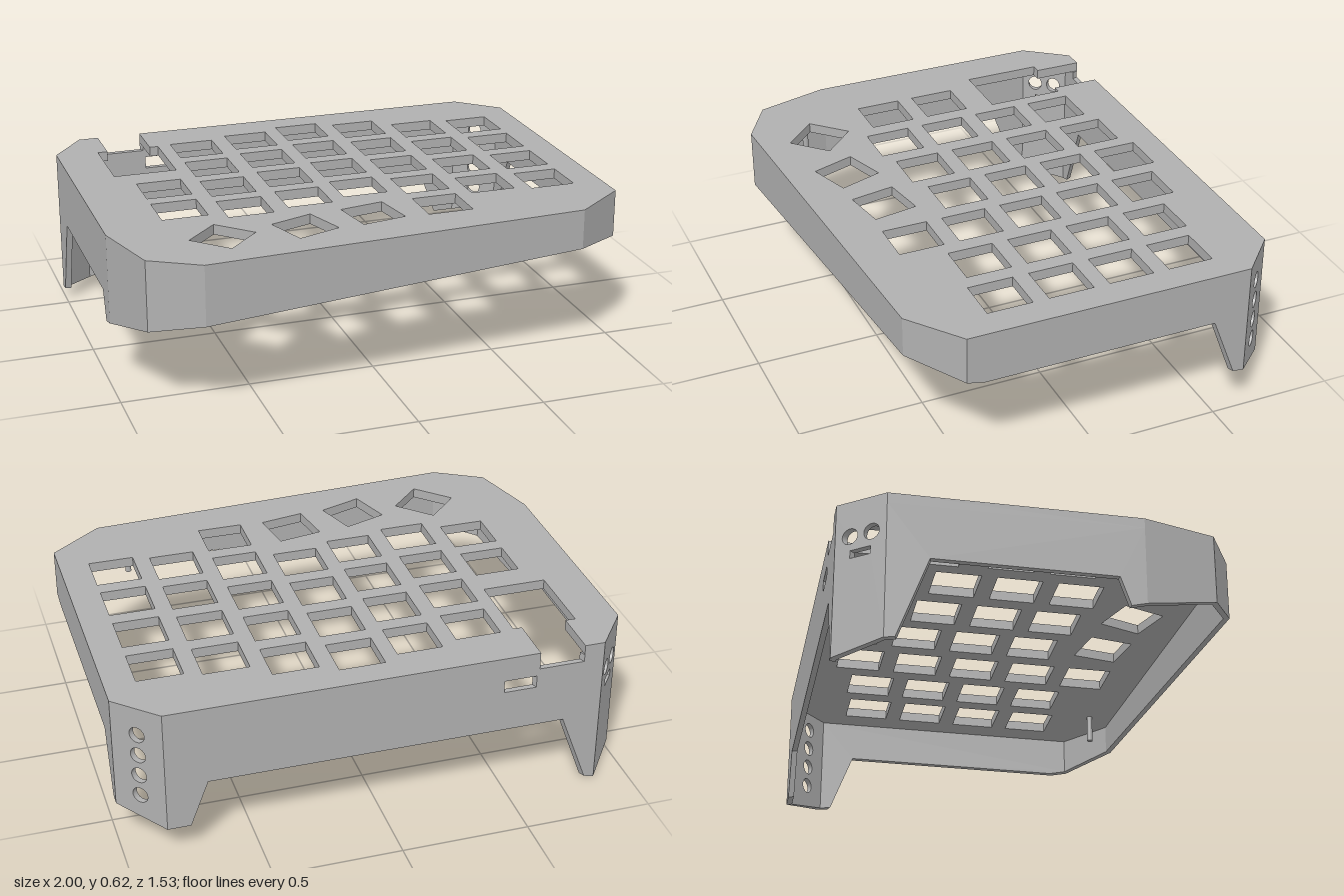
import * as THREE from 'three';

const TOP = 0.62, PLATE = 0.04, WALL = 0.023, KEY = 0.18;
const V = (x, y) => new THREE.Vector2(x, y);

// Corners of the case as [x, z, height of the lower edge], anticlockwise from above
const corners = [
  [-1, -0.6, 0.035], [-1, 0.36, 0.265], [-0.92, 0.65, 0.34], [-0.73, 0.76, 0.38], [0.79, 0.68, 0.46],
  [1, 0.52, 0.43], [1, -0.62, 0.165], [0.84, -0.77, 0.115], [-0.87, -0.77, 0],
];
const names = ['rightWall', 'rightFrontBevel', 'frontRightBevel', 'frontWall', 'frontLeftBevel',
  'leftWall', 'backLeftLeg', 'backWall', 'backRightLeg'];

// Lower edge between the corners, as [x or z, y]: this shapes the legs
const lowerEdges = {
  rightWall: [[-0.56, 0.04], [-0.44, 0.365], [0.26, 0.365], [0.3, 0.25]],
  leftWall: [[0.45, 0.415], [-0.48, 0.415], [-0.575, 0.17]],
  backWall: [[0.75, 0.115], [0.68, 0.3], [-0.72, 0.3], [-0.83, 0.01]],
};

// Key columns: x, z of the rearmost key, number of keys
const columns = [
  [-0.676, -0.06, 2], [-0.43, -0.496, 4], [-0.184, -0.53, 4], [0.056, -0.572, 4],
  [0.3, -0.53, 5], [0.545, -0.455, 4], [0.79, -0.43, 4],
];
// Turned thumb keys: x, z, angle in degrees
const thumbKeys = [[-0.594, 0.507, 45], [-0.273, 0.503, 19], [0.013, 0.453, 10]];

function rectPath(cx, cy, w, h, degrees = 0) {
  const pts = [[-1, -1], [1, -1], [1, 1], [-1, 1]].map(([a, b]) =>
    V(a * w / 2, b * h / 2).rotateAround(V(0, 0), degrees * Math.PI / 180).add(V(cx, cy)));
  return new THREE.Path(pts);
}

function circlePath(x, y, r) {
  const path = new THREE.Path();
  path.absarc(x, y, r, 0, Math.PI * 2, false);
  return path;
}

// Top plate with the key holes and the controller recess open at the back
function plateGeometry() {
  const recess = [[-0.61, -0.77], [-0.61, -0.577], [-0.575, -0.577], [-0.575, -0.265],
    [-0.83, -0.265], [-0.83, -0.577], [-0.79, -0.577], [-0.79, -0.77]];
  const outline = [...corners.slice(0, 8), ...recess, corners[8]];
  const shape = new THREE.Shape(outline.map(([x, z]) => V(x, -z)));
  for (const [x, z, count] of columns) {
    for (let i = 0; i < count; i++) shape.holes.push(rectPath(x, -(z + i * 0.2435), KEY, KEY));
  }
  for (const [x, z, angle] of thumbKeys) shape.holes.push(rectPath(x, -z, KEY, KEY, angle));
  const geo = new THREE.ExtrudeGeometry(shape, { depth: PLATE, bevelEnabled: false });
  return geo.rotateX(-Math.PI / 2).translate(0, TOP - PLATE, 0);
}

// Mitred inner corner, one wall thickness inside the outline
function innerCorner(i) {
  const n = corners.length;
  const [a, b, c] = [i + n - 1, i, i + 1].map(k => V(corners[k % n][0], corners[k % n][1]));
  const normal = (p, q) => V(p.y - q.y, q.x - p.x).normalize();
  const n1 = normal(a, b), n2 = normal(b, c);
  return b.addScaledVector(n1.clone().add(n2), -WALL / (1 + n1.dot(n2)));
}

// Wall between two corners: drawn flat, extruded, then bent onto the outline with mitred ends
function wallGeometry(i) {
  const j = (i + 1) % corners.length, name = names[i];
  const p = corners[i], q = corners[j];
  const outer0 = V(p[0], p[1]), outer1 = V(q[0], q[1]);
  const inner0 = innerCorner(i), inner1 = innerCorner(j);
  const length = outer0.distanceTo(outer1);
  const axis = name === 'backWall' ? 0 : 1;
  const along = c => (c - p[axis]) / (q[axis] - p[axis]) * length;
  const top = TOP - PLATE;

  const pts = [V(0, p[2])];
  for (const [c, y] of lowerEdges[name] || []) pts.push(V(along(c), y));
  pts.push(V(length, q[2]), V(length, top));
  // Cable notch below the recess
  if (name === 'backWall') {
    pts.push(V(along(-0.79), top), V(along(-0.79), 0.55), V(along(-0.61), 0.55), V(along(-0.61), top));
  }
  pts.push(V(0, top));
  const shape = new THREE.Shape(pts);

  if (name === 'backWall') shape.holes.push(rectPath(along(-0.535), 0.495, 0.13, 0.05));
  if (name === 'backLeftLeg') {
    for (let k = 0; k < 4; k++) shape.holes.push(circlePath(length / 2, 0.505 - k * 0.089, 0.032));
  }
  if (name === 'backRightLeg') {
    for (const u of [0.062, 0.152]) shape.holes.push(circlePath(u, 0.475, 0.032));
    shape.holes.push(rectPath(length / 2, 0.4, 0.085, 0.032));
  }

  const geo = new THREE.ExtrudeGeometry(shape, { depth: WALL, bevelEnabled: false, curveSegments: 20 });
  const pos = geo.attributes.position;
  for (let k = 0; k < pos.count; k++) {
    const s = pos.getX(k) / length;
    const point = inner0.clone().lerp(inner1, s)
      .lerp(outer0.clone().lerp(outer1, s), pos.getZ(k) / WALL);
    pos.setXYZ(k, point.x, pos.getY(k), point.y);
  }
  geo.computeVertexNormals();
  return geo;
}

export function createModel() {
  const model = new THREE.Group();
  model.name = 'keyboardCase';
  const grey = new THREE.MeshStandardMaterial({ color: 0xb0b0b0 });
  grey.name = 'grey';
  const add = (geo, name) => {
    const mesh = new THREE.Mesh(geo, grey);
    mesh.name = name;
    model.add(mesh);
    return mesh;
  };

  add(plateGeometry(), 'keyPlate');
  names.forEach((name, i) => add(wallGeometry(i), name));

  // Locating pins under the plate
  for (const [x, z, name] of [[0.69, 0.56, 'leftPin'], [-0.816, 0.5, 'rightPin']]) {
    add(new THREE.CylinderGeometry(0.012, 0.012, 0.12, 16), name).position.set(x, 0.525, z);
  }
  return model;
}
